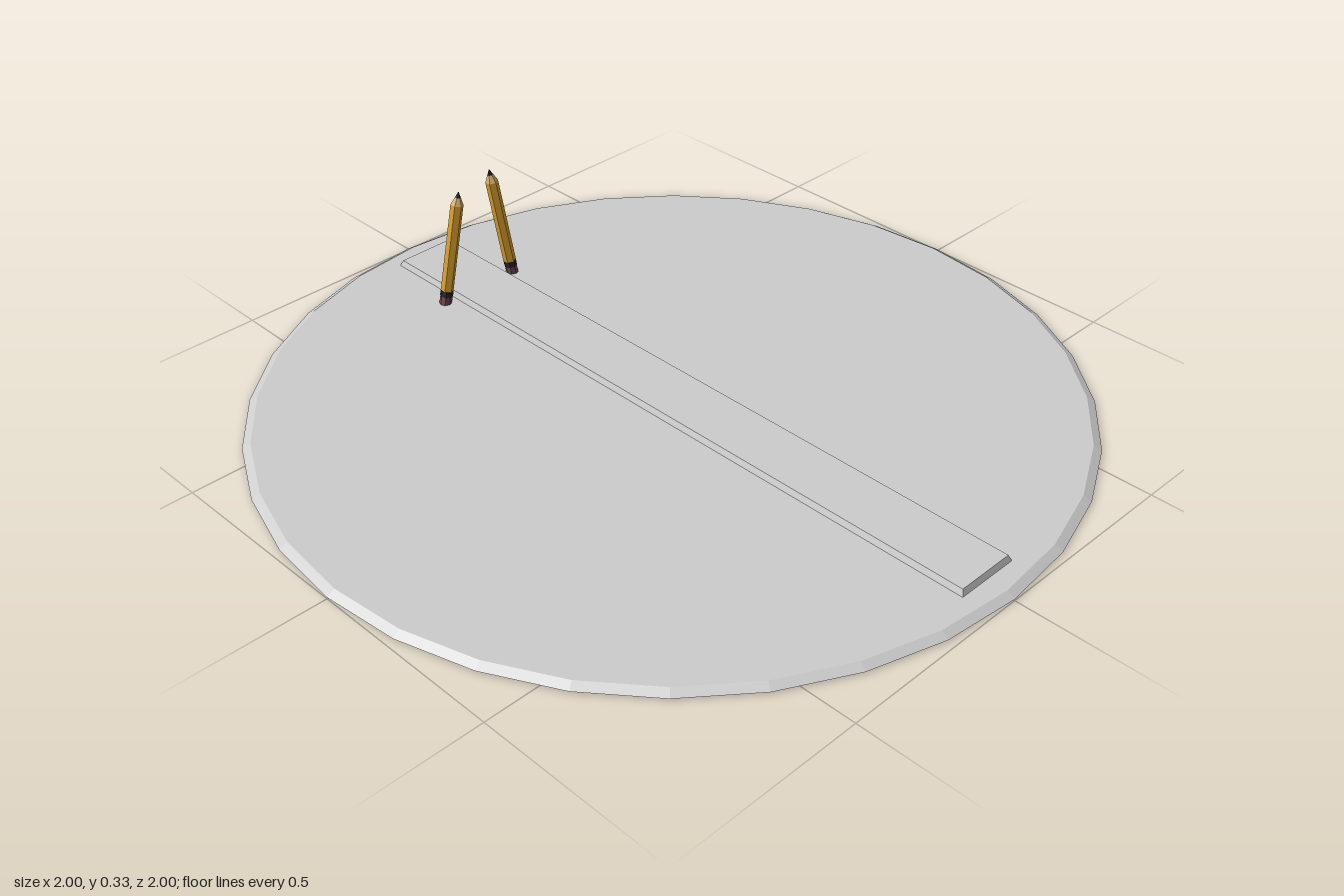
import * as THREE from 'three';

const material = (color) => new THREE.MeshStandardMaterial({ color, flatShading: true });
const grey = material(0xcccccc);
const wood = material(0xd9a02e);
const bareWood = material(0xd8b070);
const lead = material(0x222226);
const metal = material(0x2a2630);
const rubber = material(0x6e4a52);

function part(name, geometry, mat) {
  const mesh = new THREE.Mesh(geometry, mat);
  mesh.name = name;
  return mesh;
}

// Box whose top face is inset by the same margin on every side
function bevelledSlab(width, height, depth, inset) {
  const geometry = new THREE.BoxGeometry(width, height, depth);
  const p = geometry.attributes.position;
  for (let i = 0; i < p.count; i++) {
    if (p.getY(i) > 0) {
      p.setX(i, p.getX(i) - Math.sign(p.getX(i)) * inset);
      p.setZ(i, p.getZ(i) - Math.sign(p.getZ(i)) * inset);
    }
  }
  geometry.translate(0, height / 2, 0);
  geometry.computeVertexNormals();
  return geometry;
}

// Six-sided pencil standing on its eraser, leaning from base to tip
function pencil(name, base, tip) {
  const group = new THREE.Group();
  group.name = name;
  const axis = tip.clone().sub(base);
  const length = axis.length();
  const shoulder = length - 0.036;
  const r = 0.0165;

  // [name, bottom, top, bottom radius, top radius, sides, material]
  const sections = [
    ['eraser', 0, 0.034, r * 0.95, r * 0.95, 8, rubber],
    ['ferrule', 0.034, 0.05, r, r, 8, metal],
    ['shaft', 0.05, shoulder, r, r, 6, wood],
    ['sharpenedWood', shoulder, length - 0.016, r, r * 0.45, 6, bareWood],
    ['leadPoint', length - 0.016, length, r * 0.45, 0, 6, lead],
  ];
  for (const [label, y0, y1, r0, r1, sides, mat] of sections) {
    const geometry = new THREE.CylinderGeometry(r1, r0, y1 - y0, sides);
    geometry.translate(0, (y0 + y1) / 2, 0);
    group.add(part(label, geometry, mat));
  }

  group.position.copy(base);
  group.quaternion.setFromUnitVectors(new THREE.Vector3(0, 1, 0), axis.normalize());
  return group;
}

export function createModel() {
  const model = new THREE.Group();
  model.name = 'discWithPencils';

  // Thin round plate with a sloped rim
  const plate = new THREE.CylinderGeometry(0.98, 1, 0.012, 32);
  plate.translate(0, 0.009, 0);
  model.add(part('plate', plate, grey));

  // Long raised strip across the plate
  model.add(part('strip', bevelledSlab(0.178, 0.03, 1.87, 0.012), grey));

  // Pencils planted either side of the strip, leaning inward
  model.add(
    pencil('rightPencil', new THREE.Vector3(-0.117, 0.002, -0.703), new THREE.Vector3(-0.065, 0.325, -0.682)),
    pencil('leftPencil', new THREE.Vector3(0.108, 0.002, -0.699), new THREE.Vector3(0.064, 0.325, -0.719)),
  );

  return model;
}
